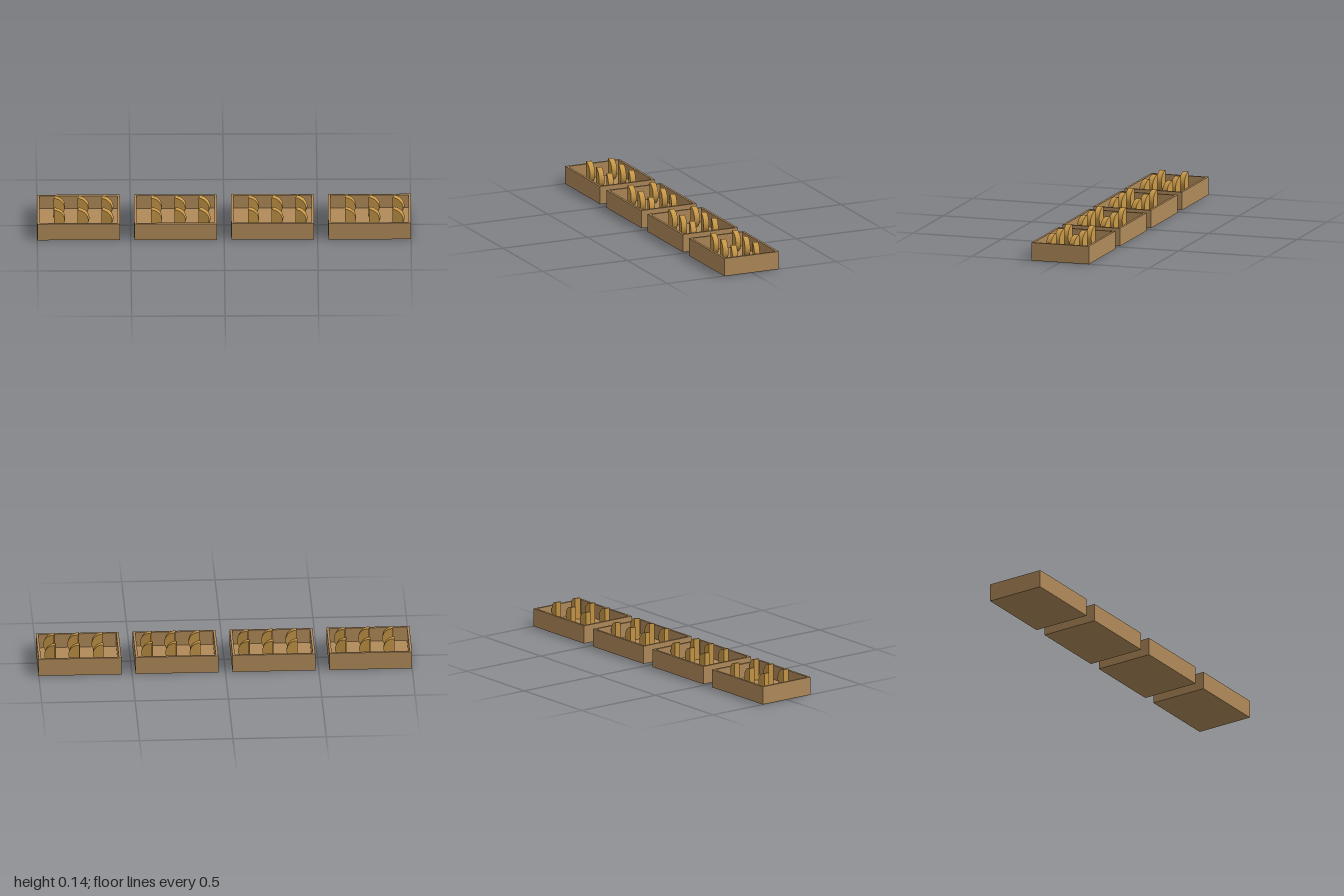
import * as THREE from 'three';

const TRAY = { w: 0.443, d: 0.324, h: 0.098, wall: 0.013, floor: 0.02, pitch: 0.519 };
const SLICE = { r: 0.058, t: 0.03, y: 0.08 };

const trayMat = new THREE.MeshStandardMaterial({ color: 0xb08a5a });
const sliceMat = new THREE.MeshStandardMaterial({ color: 0xc89848, flatShading: true });

function rect(target, w, d) {
  target.moveTo(-w / 2, -d / 2);
  target.lineTo(w / 2, -d / 2);
  target.lineTo(w / 2, d / 2);
  target.lineTo(-w / 2, d / 2);
  target.closePath();
  return target;
}

// Rectangular rim, extruded upwards
function wallGeometry() {
  const { w, d, h, wall } = TRAY;
  const shape = rect(new THREE.Shape(), w, d);
  shape.holes.push(rect(new THREE.Path(), w - 2 * wall, d - 2 * wall));
  return new THREE.ExtrudeGeometry(shape, { depth: h, bevelEnabled: false }).rotateX(-Math.PI / 2);
}

// Upright half disc: flat side towards -x, round side towards +x
function sliceGeometry() {
  const shape = new THREE.Shape();
  shape.absarc(0, 0, SLICE.r, -Math.PI / 2, Math.PI / 2, false);
  shape.closePath();
  return new THREE.ExtrudeGeometry(shape, { depth: SLICE.t, bevelEnabled: false, curveSegments: 12 })
    .translate(0, 0, -SLICE.t / 2);
}

export function createModel() {
  const model = new THREE.Group();
  model.name = 'trayRow';

  const walls = wallGeometry();
  const floor = new THREE.BoxGeometry(TRAY.w - TRAY.wall, TRAY.floor, TRAY.d - TRAY.wall)
    .translate(0, TRAY.floor / 2, 0);
  const slice = sliceGeometry();
  const tilts = [0.07, 0.17, 0.25];

  for (let i = 0; i < 4; i++) {
    const tray = new THREE.Group();
    tray.name = 'tray';
    tray.position.x = (i - 1.5) * TRAY.pitch;

    const wallMesh = new THREE.Mesh(walls, trayMat);
    wallMesh.name = 'trayWalls';
    const floorMesh = new THREE.Mesh(floor, trayMat);
    floorMesh.name = 'trayFloor';
    tray.add(wallMesh, floorMesh);

    // Two rows of three slices, each column turned a little more
    for (const z of [-0.065, 0.065]) {
      tilts.forEach((tilt, col) => {
        const mesh = new THREE.Mesh(slice, sliceMat);
        mesh.name = 'slice';
        mesh.position.set((col - 1) * 0.129 - 0.002, SLICE.y, z);
        mesh.rotation.y = -tilt;
        tray.add(mesh);
      });
    }
    model.add(tray);
  }
  return model;
}
